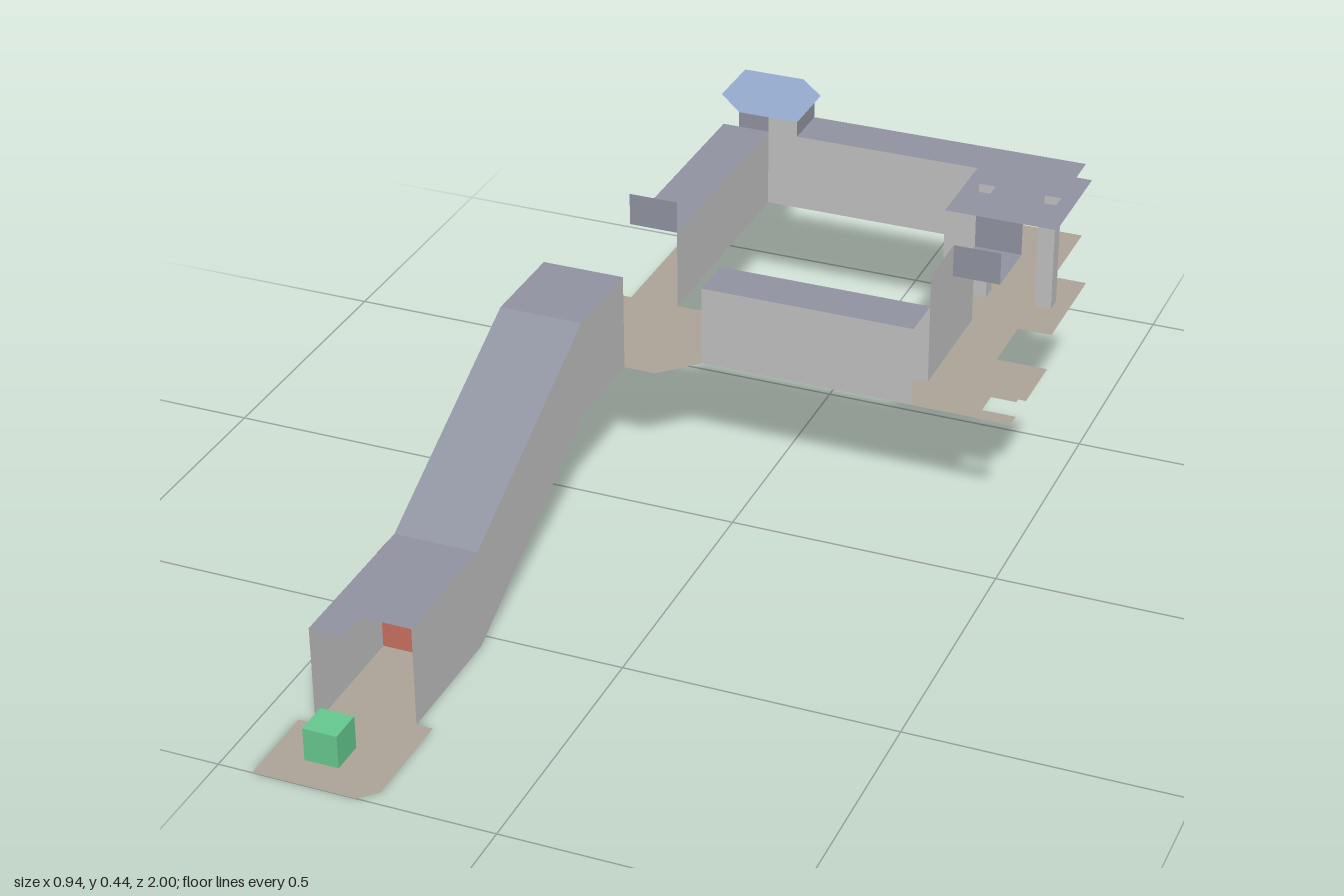
import * as THREE from 'three';

const mat = (name, color) => {
  const m = new THREE.MeshStandardMaterial({ color, side: THREE.DoubleSide });
  m.name = name;
  return m;
};

export function createModel() {
  const floorMat = mat('tan floor', 0xaca498);
  const ceilMat = mat('blue grey ceiling', 0x9093a0);
  const wallMat = mat('light grey wall', 0xc0c0c0);
  const skyMat = mat('light blue ceiling', 0x96acce);
  const redMat = mat('red door', 0xc8705f);
  const greenMat = mat('green marker', 0x66c88e);

  const model = new THREE.Group();
  model.name = 'corridorLevel';
  const add = (name, geo, material) => {
    const m = new THREE.Mesh(geo, material);
    m.name = name;
    model.add(m);
    return m;
  };

  // Horizontal polygon from [x, z] points, with optional holes
  const flat = (name, pts, y, material, holes = []) => {
    const v = (list) => list.map(([x, z]) => new THREE.Vector2(x, -z));
    const shape = new THREE.Shape(v(pts));
    holes.forEach((h) => shape.holes.push(new THREE.Path(v(h))));
    add(name, new THREE.ShapeGeometry(shape).rotateX(-Math.PI / 2).translate(0, y, 0), material);
  };
  const rect = (x0, x1, z0, z1) => [[x0, z0], [x1, z0], [x1, z1], [x0, z1]];

  // Upright panel between two plan points
  const wall = (name, [xa, za], [xb, zb], y0, y1, material = wallMat) => {
    const dx = xb - xa, dz = zb - za;
    const geo = new THREE.PlaneGeometry(Math.hypot(dx, dz), y1 - y0);
    geo.rotateY(Math.atan2(-dz, dx)).translate((xa + xb) / 2, (y0 + y1) / 2, (za + zb) / 2);
    add(name, geo, material);
  };

  // Sloped panel across x, from (z0, y0) to (z1, y1)
  const slope = (name, x0, x1, [z0, y0], [z1, y1], material) => {
    const geo = new THREE.PlaneGeometry(x1 - x0, Math.hypot(z1 - z0, y1 - y0));
    geo.rotateX(-Math.PI / 2 + Math.atan2(y1 - y0, z0 - z1));
    add(name, geo.translate((x0 + x1) / 2, (y0 + y1) / 2, (z0 + z1) / 2), material);
  };

  const F = 0.22, C = 0.375, H = 0.438, B = 0.406; // upper floor, ceiling, high ceiling, blue ceiling
  const L = -0.406, R = -0.25, T = 0.19;           // ramp corridor sides and lower height

  // Start area with marker and door
  flat('startFloor', [[-0.438, 0.84], [L, 0.84], [L, 0.53], [R, 0.53], [R, 0.78], [-0.22, 0.78],
    [-0.22, 0.97], [-0.25, 1], [-0.438, 1]], 0, floorMat);
  add('startMarker', new THREE.BoxGeometry(0.0625, 0.0625, 0.0625).translate(-0.344, 0.0313, 0.906), greenMat);
  add('door', new THREE.BoxGeometry(R - L, T - 0.001, 0.035).translate((L + R) / 2 - 0.001, T / 2, 0.575), redMat);

  // Ramp corridor
  flat('lowerCeiling', [[L, 0.53], [R, 0.53], [R, 0.78], [-0.345, 0.78], [-0.345, 0.84], [L, 0.84]], T, ceilMat);
  slope('rampCeiling', L, R, [0.53, T], [0.09, B], ceilMat);
  slope('rampFloor', L, R, [0.53, 0], [0.09, F], floorMat);
  flat('upperRampCeiling', rect(L, R, -0.094, 0.09), B, ceilMat);
  flat('upperRampFloor', rect(L, R, -0.094, 0.09), F, floorMat);
  for (const [x, end] of [[L, 0.84], [R, 0.78]]) {
    const side = new THREE.Shape([[end, 0], [end, T], [0.53, T], [0.09, B], [-0.094, B], [-0.094, F], [0.09, F], [0.53, 0]]
      .map(([z, y]) => new THREE.Vector2(z, y)));
    add('rampWall', new THREE.ShapeGeometry(side).rotateY(-Math.PI / 2).translate(x, 0, 0), wallMat);
  }

  // Eight-sided junction floor
  flat('junctionFloor', [[-0.41, -0.345], [-0.19, -0.345], [-0.125, -0.28], [-0.125, -0.16],
    [-0.19, -0.094], [-0.41, -0.094], [-0.47, -0.16], [-0.47, -0.28]], F, floorMat);

  // West corridor, open on its outer side
  flat('westFloor', rect(-0.345, R, -0.81, -0.345), F, floorMat);
  flat('westCeiling', rect(-0.345, R, -0.81, -0.345), C, ceilMat);
  wall('westWall', [R, -0.81], [R, -0.345], F, C);
  wall('westLintel', [-0.345, -0.345], [R, -0.345], C, H, ceilMat);

  // North-west corner under the blue ceiling
  const corner = [[-0.375, -1], [-0.25, -1], [-0.19, -0.94], [-0.19, -0.81], [-0.312, -0.81], [-0.375, -0.875]];
  flat('cornerFloor', corner, F, floorMat);
  flat('cornerCeiling', corner, B, skyMat);
  wall('cornerWall', [R, -0.81], [-0.19, -0.81], F, B);
  wall('cornerLintel', [-0.312, -0.81], [R, -0.81], C, B, ceilMat);
  wall('cornerLintel', [-0.19, -0.905], [-0.19, -0.81], C, B, ceilMat);

  // North corridor turning into the east corridor
  const bend = [[-0.19, -0.905], [0.37, -0.905], [0.37, -0.72], [0.28, -0.72], [0.28, -0.78], [0.25, -0.81], [-0.19, -0.81]];
  flat('northFloor', bend, F, floorMat);
  flat('northCeiling', bend, C, ceilMat);
  wall('northWall', [-0.19, -0.81], [0.25, -0.81], F, C);
  wall('bendWall', [0.25, -0.81], [0.28, -0.78], F, C);
  wall('eastWall', [0.28, -0.78], [0.28, -0.72], F, C);

  // Pillar room with two hollow pillars
  const p = 0.016, pz = -0.611;
  const pillars = [0.26, 0.388].map((x) => rect(x - p, x + p, pz - p, pz + p));
  flat('pillarRoomFloor', rect(0.22, 0.435, -0.72, -0.5), F, floorMat, pillars);
  flat('pillarRoomCeiling', rect(0.22, 0.435, -0.72, -0.5), H, ceilMat, pillars);
  pillars.forEach((c) => c.forEach((a, i) => wall('pillarSide', a, c[(i + 1) % 4], F, H)));
  wall('pillarRoomWall', [0.22, -0.72], [0.22, -0.5], F, H);
  for (const z of [-0.72, -0.5]) {
    wall('pillarRoomEndWall', [0.22, z], [0.28, z], F, H);
    wall('pillarRoomLintel', [0.28, z], [0.37, z], C, H, ceilMat);
  }

  // Short east corridor
  flat('eastFloor', rect(0.28, 0.37, -0.5, -0.375), F, floorMat);
  flat('eastCeiling', rect(0.28, 0.37, -0.5, -0.375), C, ceilMat);
  wall('eastWall', [0.28, -0.5], [0.28, -0.375], F, C);
  wall('eastLintel', [0.28, -0.375], [0.37, -0.375], C, H, ceilMat);

  // South-east room with a raised square at its edge
  flat('eastRoomFloor', [[0.28, -0.375], [0.466, -0.375], [0.466, -0.25], [0.403, -0.25],
    [0.403, -0.19], [0.466, -0.19], [0.466, -0.16], [0.28, -0.16]], F, floorMat);
  flat('raisedSquare', rect(0.403, 0.466, -0.25, -0.19), 0.25, floorMat);
  wall('eastRoomWall', [0.28, -0.375], [0.28, -0.25], F, H);

  // South corridor
  flat('southFloor', rect(-0.125, 0.28, -0.25, -0.16), F, floorMat);
  flat('southCeiling', rect(-0.125, 0.28, -0.25, -0.16), C, ceilMat);
  for (const z of [-0.25, -0.16]) wall('southWall', [-0.125, z], [0.28, z], F, C);

  return model;
}
